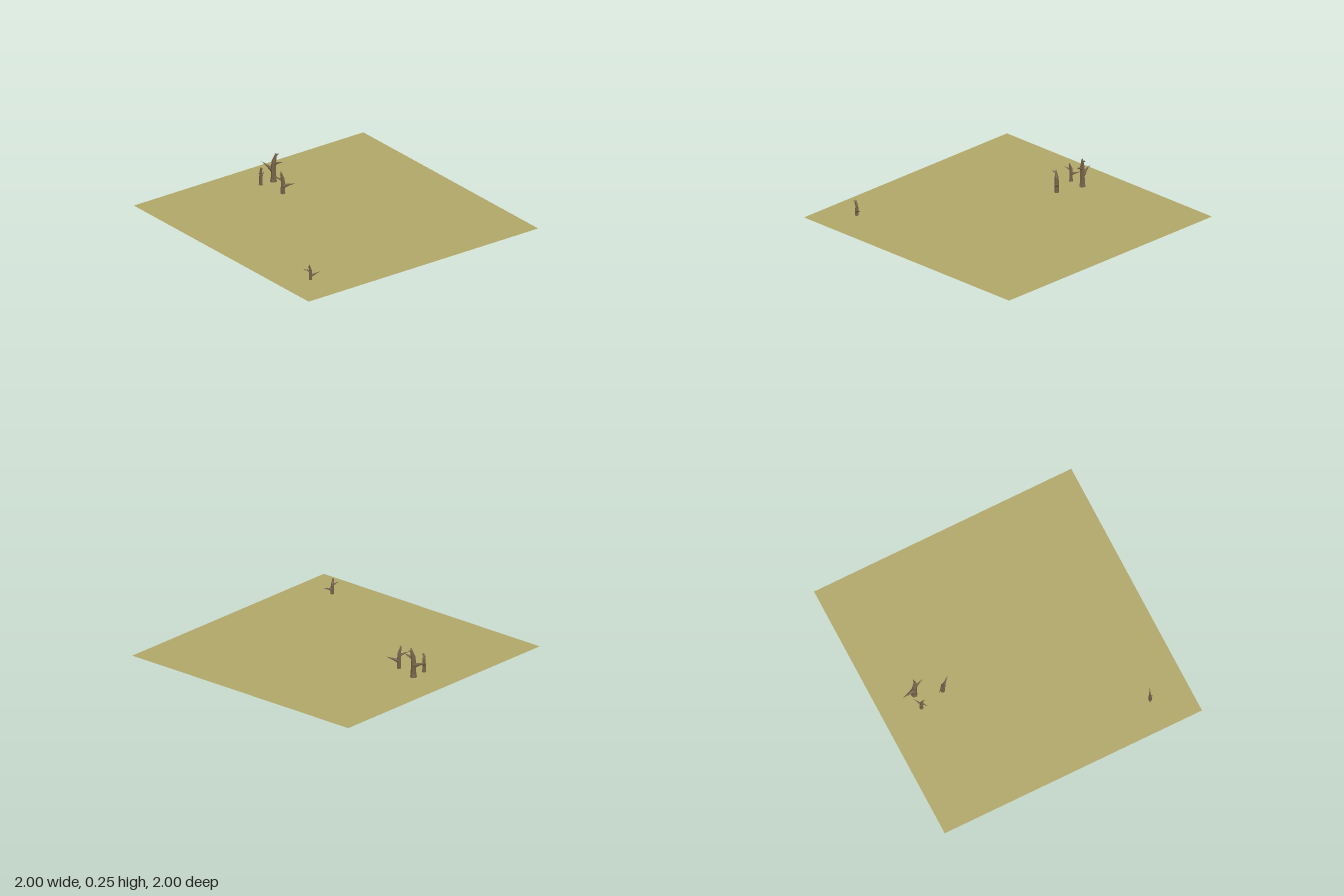
import * as THREE from 'three';

// Tapered limb swept through stations [x, y, z, radius], closed at both ends
function limbGeometry(stations, sides) {
  const pts = stations.map(([x, y, z]) => new THREE.Vector3(x, y, z));
  const pos = [], index = [];
  const last = pts.length - 1;
  pts.forEach((p, i) => {
    const t = pts[Math.min(i + 1, last)].clone().sub(pts[Math.max(i - 1, 0)]).normalize();
    const u = t.clone().cross(new THREE.Vector3(0, 0, 1)).normalize();
    const v = t.clone().cross(u);
    for (let j = 0; j < sides; j++) {
      const a = ((j + 0.5) / sides) * Math.PI * 2;
      const q = p.clone()
        .addScaledVector(u, Math.cos(a) * stations[i][3])
        .addScaledVector(v, Math.sin(a) * stations[i][3]);
      pos.push(q.x, q.y, q.z);
    }
  });
  for (let i = 0; i < last; i++) {
    for (let j = 0; j < sides; j++) {
      const k = (j + 1) % sides;
      const a = i * sides + j, b = i * sides + k;
      index.push(a, b, a + sides, b, b + sides, a + sides);
    }
  }
  for (let j = 1; j < sides - 1; j++) {
    index.push(0, j + 1, j);
    index.push(last * sides, last * sides + j, last * sides + j + 1);
  }
  const g = new THREE.BufferGeometry();
  g.setAttribute('position', new THREE.Float32BufferAttribute(pos, 3));
  g.setIndex(index);
  g.computeVertexNormals();
  return g;
}

export function createModel() {
  const model = new THREE.Group();
  model.name = 'deadTreeField';

  // Flat ground sheet
  const ground = new THREE.Mesh(
    new THREE.PlaneGeometry(2, 2).rotateX(-Math.PI / 2),
    new THREE.MeshStandardMaterial({ color: 0xafa668, side: THREE.DoubleSide })
  );
  ground.name = 'groundSheet';
  ground.position.y = 0.025;
  model.add(ground);

  // Parts of one bare tree, one unit tall, its long branch towards +x
  const bark = new THREE.MeshStandardMaterial({ color: 0x75634a, flatShading: true });
  const parts = {
    trunk: limbGeometry([
      [0, 0, 0, 0.115], [0, 0.12, 0, 0.09], [0, 0.45, 0, 0.085],
      [-0.01, 0.7, 0, 0.075], [-0.04, 0.82, 0.02, 0.055],
      [-0.06, 0.92, 0.03, 0.04], [-0.07, 1, 0.03, 0.015],
    ], 6),
    longBranch: limbGeometry([
      [0, 0.4, 0, 0.1], [0.1, 0.43, 0, 0.075], [0.22, 0.475, 0, 0.045],
      [0.36, 0.525, 0, 0.022], [0.48, 0.56, 0, 0.004],
    ], 5),
    shortBranch: limbGeometry([
      [0, 0.62, 0, 0.07], [-0.1, 0.67, 0, 0.045],
      [-0.22, 0.72, 0, 0.025], [-0.36, 0.78, 0, 0.004],
    ], 5),
    topTwig: limbGeometry([
      [-0.045, 0.86, 0.02, 0.045], [-0.065, 0.92, 0.08, 0.03], [-0.09, 0.955, 0.165, 0.004],
    ], 5),
  };

  // x, y, z, height, compass angle of the long branch (from +x towards +z)
  const trees = [
    [-0.725, 0.03, -0.008, 0.215, 165],
    [-0.535, 0.008, 0.055, 0.182, -40],
    [-0.725, 0.035, 0.103, 0.137, -121],
    [0.715, 0, 0.767, 0.14, -65],
  ];
  trees.forEach(([x, y, z, height, angle], i) => {
    const tree = new THREE.Group();
    tree.name = `bareTree${i + 1}`;
    for (const [name, geometry] of Object.entries(parts)) {
      const mesh = new THREE.Mesh(geometry, bark);
      mesh.name = name;
      tree.add(mesh);
    }
    tree.position.set(x, y, z);
    tree.scale.setScalar(height);
    tree.rotation.y = -THREE.MathUtils.degToRad(angle);
    model.add(tree);
  });

  return model;
}
